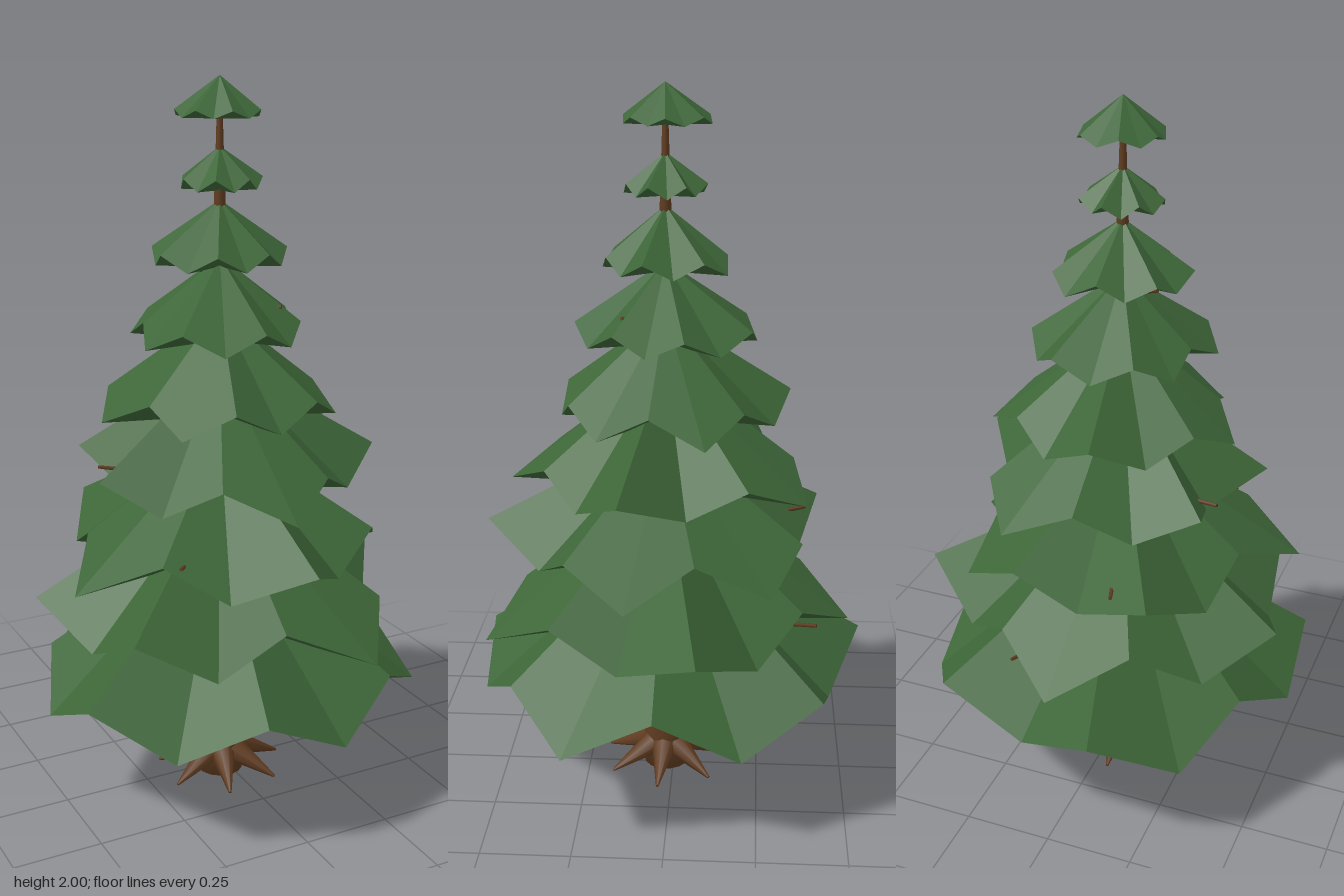
import * as THREE from 'three';

const green = new THREE.MeshStandardMaterial({ color: 0x3d6638 });
green.name = 'needleGreen';
const brown = new THREE.MeshStandardMaterial({ color: 0x5f3b20 });
brown.name = 'barkBrown';

const RIM = 14; // rim corners per tier, alternately raised and drooping

// Small seeded random generator
function seeded(seed) {
  return () => {
    seed = (seed * 16807) % 2147483647;
    return seed / 2147483647;
  };
}
const rand = seeded(4711);

// Uneven rim radii around a mean, for the small upper tiers
const uneven = (mean) => Array.from({ length: RIM }, () => mean * (0.88 + 0.24 * rand()));

// Foliage tiers: droop height, raised height, apex height, angle of first raised corner, rim radii
const tiers = [
  [0.285, 0.4, 0.76, 258, [0.585, 0.49, 0.58, 0.545, 0.51, 0.565, 0.52, 0.53, 0.545, 0.52, 0.56, 0.525, 0.49, 0.555]],
  [0.49, 0.59, 0.91, 349, [0.573, 0.43, 0.46, 0.54, 0.41, 0.45, 0.5, 0.44, 0.527, 0.46, 0.43, 0.53, 0.44, 0.45]],
  [0.69, 0.78, 1.05, 36, [0.43, 0.39, 0.51, 0.41, 0.4, 0.515, 0.38, 0.42, 0.5, 0.38, 0.42, 0.46, 0.36, 0.47]],
  [0.9, 0.975, 1.25, 13, [0.45, 0.36, 0.36, 0.44, 0.35, 0.36, 0.41, 0.28, 0.41, 0.35, 0.36, 0.44, 0.38, 0.33]],
  [1.1, 1.165, 1.39, 6, [0.28, 0.32, 0.3, 0.29, 0.3, 0.32, 0.27, 0.34, 0.31, 0.31, 0.35, 0.32, 0.31, 0.36]],
  [1.31, 1.36, 1.53, 191, uneven(0.24)],
  [1.51, 1.55, 1.68, 170, uneven(0.178)],
  [1.71, 1.74, 1.82, 20, uneven(0.108)],
  [1.895, 1.915, 2.0, 100, uneven(0.115)],
];

// Pleated cone: apex, zigzag rim and a shallow underside meeting at the trunk
function tierGeometry([low, high, top, start, radii]) {
  const rim = radii.map((r, i) => {
    const a = THREE.MathUtils.degToRad(start + (i * 360) / RIM);
    return [r * Math.cos(a), i % 2 ? low : high, r * Math.sin(a)];
  });
  const apex = [0, top, 0];
  const base = [0, low - (top - low) * 0.05, 0];
  const points = [];
  rim.forEach((p, i) => {
    const q = rim[(i + 1) % RIM];
    points.push(...apex, ...q, ...p, ...base, ...p, ...q);
  });
  const geometry = new THREE.BufferGeometry();
  geometry.setAttribute('position', new THREE.Float32BufferAttribute(points, 3));
  geometry.computeVertexNormals();
  return geometry;
}

// Tapered rod between two points
function rod(name, from, to, r0, r1, sides) {
  const dir = to.clone().sub(from);
  const mesh = new THREE.Mesh(new THREE.CylinderGeometry(r1, r0, dir.length(), sides), brown);
  mesh.position.copy(from).addScaledVector(dir, 0.5);
  mesh.quaternion.setFromUnitVectors(new THREE.Vector3(0, 1, 0), dir.normalize());
  mesh.name = name;
  return mesh;
}

function polar(radius, y, degrees) {
  const a = THREE.MathUtils.degToRad(degrees);
  return new THREE.Vector3(radius * Math.cos(a), y, radius * Math.sin(a));
}

export function createModel() {
  const model = new THREE.Group();
  model.name = 'pineTree';
  const tree = new THREE.Group();
  tree.name = 'tree';
  tree.position.set(-0.022, 0, 0.022);
  model.add(tree);

  // Trunk
  const profile = [[0, 0], [0.066, 0], [0.063, 0.1], [0.058, 0.28], [0.045, 0.8], [0.026, 1.4], [0.013, 1.75], [0.007, 1.94], [0, 1.95]];
  const trunk = new THREE.Mesh(
    new THREE.LatheGeometry(profile.map(([x, y]) => new THREE.Vector2(x, y)), 14),
    brown
  );
  trunk.name = 'trunk';
  tree.add(trunk);

  // Roots
  const roots = new THREE.Group();
  roots.name = 'roots';
  for (let i = 0; i < 7; i++) {
    const a = 5 + (i * 360) / 7;
    roots.add(rod('root', polar(0.04, 0.068, a), polar(0.182, 0.012, a), 0.038, 0.004, 8));
  }
  tree.add(roots);

  // Foliage
  const foliage = new THREE.Group();
  foliage.name = 'foliage';
  tiers.forEach((tier, i) => {
    const mesh = new THREE.Mesh(tierGeometry(tier), green);
    mesh.name = `foliageTier${i + 1}`;
    foliage.add(mesh);
  });
  tree.add(foliage);

  // Twigs poking through the foliage: angle, tip height, tip radius
  const twigs = [
    [132, 0.78, 0.39], [253, 0.78, 0.42], [290, 0.53, 0.46], [26, 0.99, 0.3],
    [200, 0.95, 0.34], [332, 1.19, 0.24], [40, 1.4, 0.17], [215, 1.53, 0.16],
  ];
  const branches = new THREE.Group();
  branches.name = 'branches';
  for (const [angle, y, r] of twigs) {
    branches.add(rod('branch', polar(0, y - 0.05, angle), polar(r, y, angle), 0.012, 0.005, 6));
  }
  tree.add(branches);

  return model;
}
